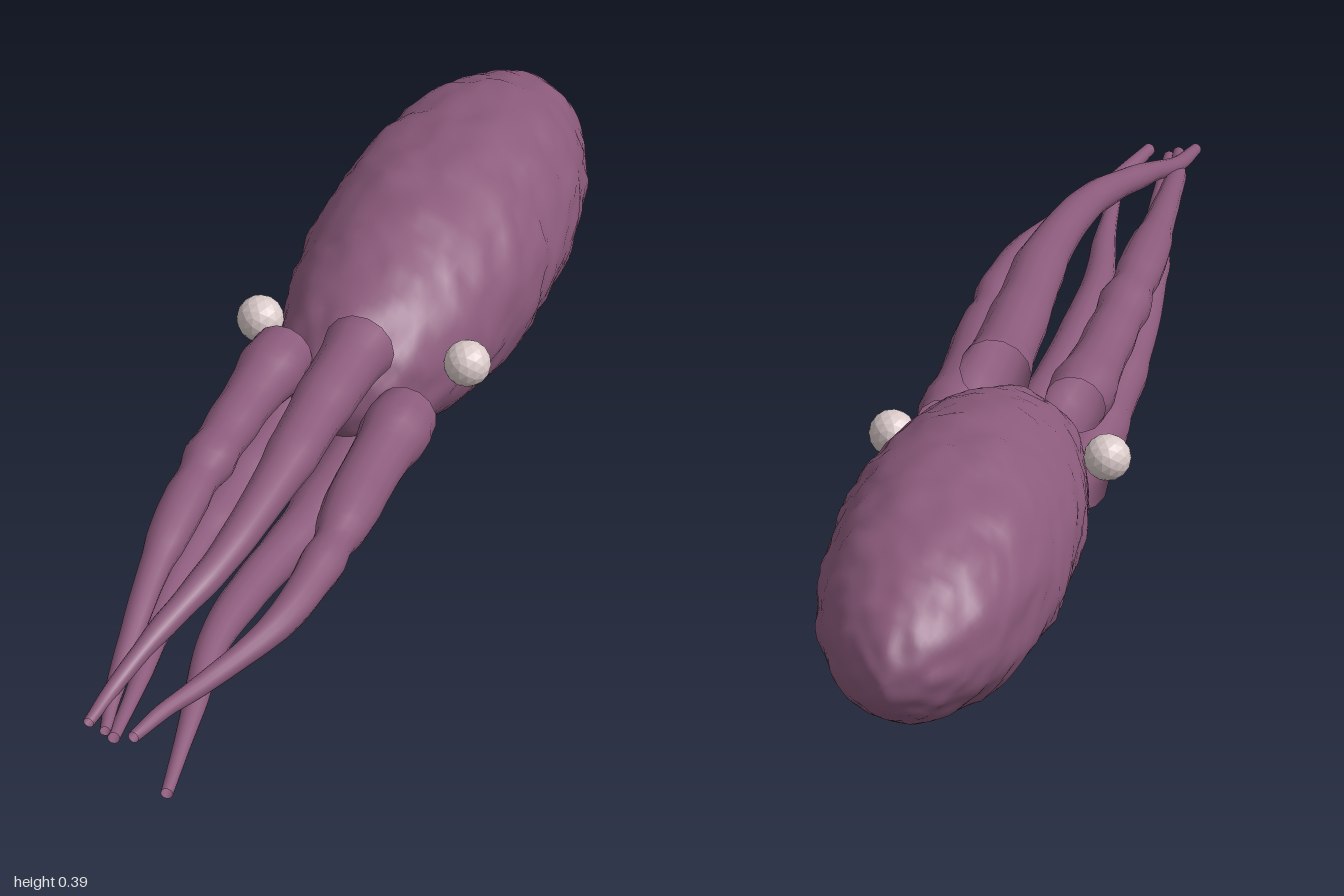
import * as THREE from 'three';
import { mergeVertices } from 'three/addons/utils/BufferGeometryUtils.js';

const skin = new THREE.MeshStandardMaterial({ color: 0x8b5a7b, side: THREE.DoubleSide });
skin.name = 'mauve skin';
const eyeWhite = new THREE.MeshStandardMaterial({ color: 0xd9c8c8, flatShading: true });
eyeWhite.name = 'pale eye';

// Seeded hash and smooth 3D value noise in -1..1
const hash = (x, y, z) => {
  const s = Math.sin(x * 127.1 + y * 311.7 + z * 74.7) * 43758.5453;
  return (s - Math.floor(s)) * 2 - 1;
};
function noise(x, y, z) {
  const c = [x, y, z].map(Math.floor);
  const f = [x - c[0], y - c[1], z - c[2]].map((t) => t * t * (3 - 2 * t));
  let sum = 0;
  for (let i = 0; i < 8; i++) {
    const b = [i & 1, (i >> 1) & 1, i >> 2];
    const w = b.reduce((p, bit, k) => p * (bit ? f[k] : 1 - f[k]), 1);
    sum += w * hash(c[0] + b[0], c[1] + b[1], c[2] + b[2]);
  }
  return sum;
}

// Long egg-shaped mantle with a lumpy skin
function makeMantle() {
  let geo = new THREE.SphereGeometry(1, 64, 64).rotateX(Math.PI / 2);
  geo.deleteAttribute('uv');
  geo.deleteAttribute('normal');
  geo = mergeVertices(geo, 1e-4);
  const pos = geo.attributes.position;
  const v = new THREE.Vector3();
  for (let i = 0; i < pos.count; i++) {
    v.fromBufferAttribute(pos, i);
    const p = v.clone().multiply(new THREE.Vector3(0.2, 0.193, 0.493));
    const lump = 0.03 * noise(p.x * 16 + 9, p.y * 16 + 5, p.z * 16 + 7)
      + 0.025 * noise(p.x * 38, p.y * 38, p.z * 38);
    p.multiplyScalar(1 + lump * (1 - 0.7 * v.z * v.z));
    pos.setXYZ(i, p.x, p.y + 0.203, p.z - 0.503);
  }
  geo.computeVertexNormals();
  return new THREE.Mesh(geo, skin);
}

// Tapered, knobbly arm, open at both ends
function makeArm(points, seed) {
  const rings = 48, sides = 14;
  const curve = new THREE.CatmullRomCurve3(points.map((p) => new THREE.Vector3(...p)));
  const geo = new THREE.TubeGeometry(curve, rings, 1, sides, false);
  const pos = geo.attributes.position;
  const v = new THREE.Vector3();
  for (let r = 0; r <= rings; r++) {
    const t = r / rings;
    const centre = curve.getPointAt(t);
    const radius = (0.057 - 0.047 * t) * (1 + 0.16 * noise(t * 18, seed * 7.3, 0.5));
    for (let s = 0; s <= sides; s++) {
      const i = r * (sides + 1) + s;
      v.fromBufferAttribute(pos, i).sub(centre).multiplyScalar(radius).add(centre);
      pos.setXYZ(i, v.x, v.y, v.z);
    }
  }
  geo.deleteAttribute('uv');
  geo.deleteAttribute('normal');
  const merged = mergeVertices(geo, 1e-5);
  merged.computeVertexNormals();
  return new THREE.Mesh(merged, skin);
}

// Arm centre lines, from the head to the tips
const armPaths = {
  leftArm: [[0.12, 0.2, -0.06], [0.128, 0.205, 0.15], [0.148, 0.21, 0.42], [0.138, 0.205, 0.6],
    [0.08, 0.2, 0.8], [0.05, 0.205, 0.9], [0.03, 0.205, 0.99]],
  upperLeftArm: [[0.037, 0.316, -0.06], [0.042, 0.325, 0.15], [0.05, 0.328, 0.35], [0.035, 0.305, 0.6],
    [-0.015, 0.262, 0.8], [-0.04, 0.23, 0.9], [-0.05, 0.215, 0.99]],
  upperRightArm: [[-0.1, 0.271, -0.06], [-0.102, 0.278, 0.15], [-0.095, 0.282, 0.4], [-0.08, 0.268, 0.6],
    [-0.055, 0.235, 0.8], [-0.04, 0.215, 0.9], [-0.02, 0.205, 0.99]],
  lowerRightArm: [[-0.097, 0.13, -0.06], [-0.095, 0.14, 0.15], [-0.09, 0.158, 0.4], [-0.07, 0.172, 0.6],
    [-0.03, 0.187, 0.8], [-0.005, 0.195, 0.99]],
  lowerLeftArm: [[0.037, 0.093, -0.06], [0.032, 0.1, 0.15], [0.02, 0.126, 0.4], [0.025, 0.14, 0.6],
    [0.06, 0.127, 0.8], [0.09, 0.105, 0.99]],
};

export function createModel() {
  const model = new THREE.Group();
  model.name = 'squid';

  const mantle = makeMantle();
  mantle.name = 'mantle';
  model.add(mantle);

  Object.entries(armPaths).forEach(([name, points], i) => {
    const arm = makeArm(points, i + 1);
    arm.name = name;
    model.add(arm);
  });

  // Round eyes on both sides of the head
  for (const side of [1, -1]) {
    const eye = new THREE.Mesh(new THREE.IcosahedronGeometry(0.04, 2), eyeWhite);
    eye.position.set(side * 0.185, 0.243, -0.178);
    eye.name = side > 0 ? 'leftEye' : 'rightEye';
    model.add(eye);
  }
  return model;
}
